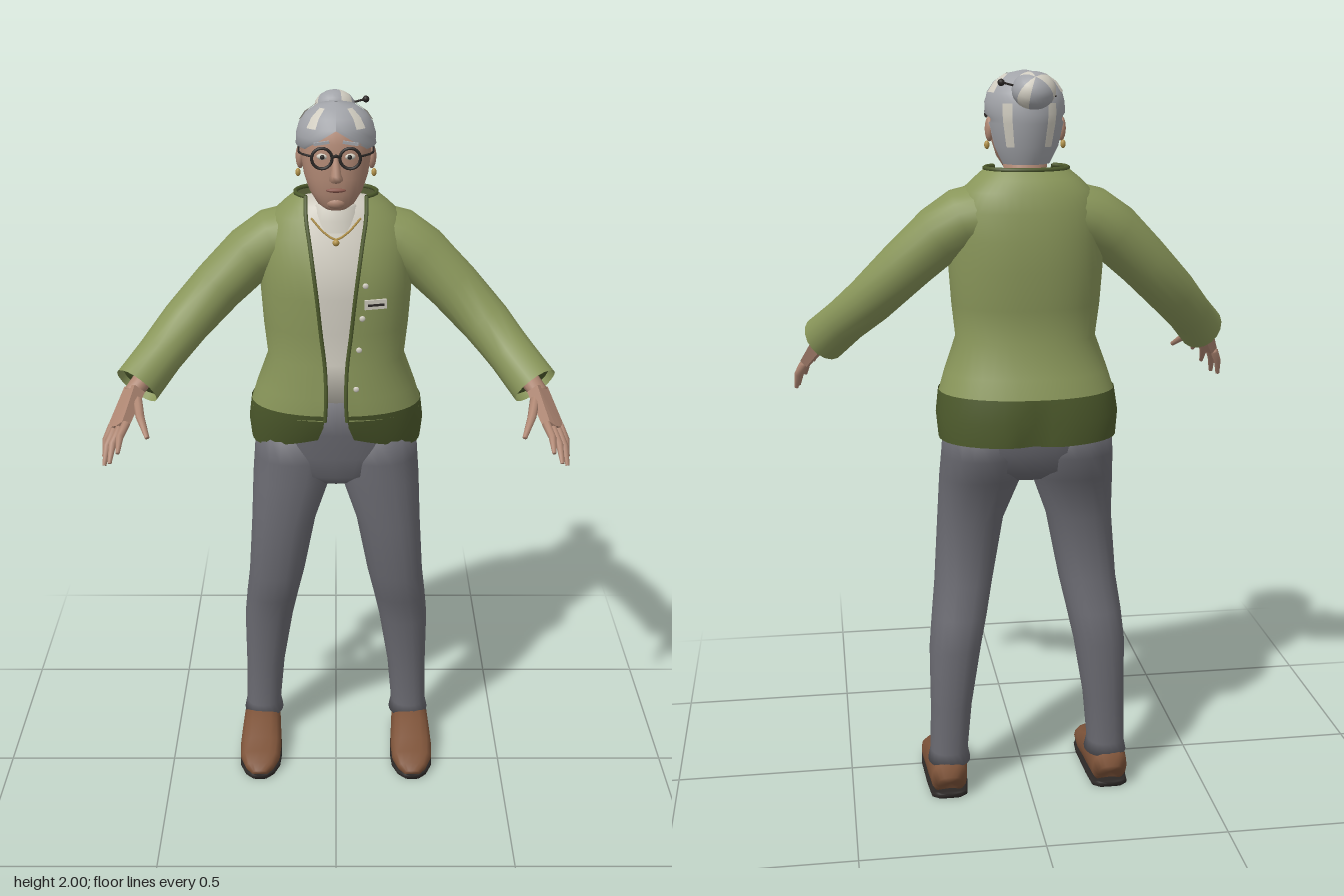
import * as THREE from 'three';
import { ConvexGeometry } from 'three/addons/geometries/ConvexGeometry.js';

const V = (x, y, z) => new THREE.Vector3(x, y, z);
const colours = {
  skin: 0xb08874, hair: 0xa2a4a9, cream: 0xd0ccc0, jacketGreen: 0x89965a, hemGreen: 0x4d5a2c,
  trouserGrey: 0x6a6a71, shoeBrown: 0x7d5339, dark: 0x2b2725, gold: 0xb3934a, lip: 0x8c594e,
};

// Skins rows of points; closed rows wrap round, and capped ends are filled.
function skin(rows, closed = true, cap = true) {
  const n = rows[0].length, pos = [], idx = [];
  rows.forEach(r => r.forEach(p => pos.push(p.x, p.y, p.z)));
  for (let i = 0; i + 1 < rows.length; i++)
    for (let j = 0; j < (closed ? n : n - 1); j++) {
      const a = i * n + j, b = i * n + (j + 1) % n;
      idx.push(a, a + n, b, b, a + n, b + n);
    }
  if (closed && cap) [0, rows.length - 1].forEach((r, end) => {
    const c = rows[r].reduce((s, p) => s.add(p), V(0, 0, 0)).divideScalar(n), k = pos.length / 3;
    pos.push(c.x, c.y, c.z);
    for (let j = 0; j < n; j++) {
      const a = r * n + j, b = r * n + (j + 1) % n;
      idx.push(...(end ? [a, k, b] : [a, b, k]));
    }
  });
  // Keep the faces outward whichever way the rows run.
  const at = i => V(pos[3 * i], pos[3 * i + 1], pos[3 * i + 2]);
  const mid = rows.flat().reduce((s, p) => s.add(p), V(0, 0, 0)).divideScalar(rows.length * n);
  let vol = 0;
  for (let i = 0; i < idx.length; i += 3)
    vol += at(idx[i]).sub(mid).dot(at(idx[i + 1]).sub(mid).cross(at(idx[i + 2]).sub(mid)));
  if (vol < 0) idx.reverse();
  const g = new THREE.BufferGeometry();
  g.setAttribute('position', new THREE.Float32BufferAttribute(pos, 3));
  g.setIndex(idx);
  g.computeVertexNormals();
  return g;
}

const pw = (v, e) => Math.sign(v) * Math.abs(v) ** e;
// Point on a level ring [y, halfWidth, frontZ, backZ] at angle t from the front.
const onRing = ([y, rx, zf, zb], t, e, cx = 0) =>
  V(cx + rx * pw(Math.sin(t), e), y, (zf + zb) / 2 + (zf - zb) / 2 * pw(Math.cos(t), e));
const body = (rings, { n = 28, e = 0.9, cx = () => 0, cap = true } = {}) => skin(rings.map(r =>
  Array.from({ length: n }, (_, j) => onRing(r, j / n * Math.PI * 2, e, cx(r)))), true, cap);
// Open wrap between angles a and b, given per ring.
const wrap = (rings, a, b, n = 40, e = 0.9) => skin(rings.map((r, i) =>
  Array.from({ length: n + 1 }, (_, j) => onRing(r, a(r, i) + (b(r, i) - a(r, i)) * j / n, e))), false);

// Limb along a path of [x, y, z, radiusUp, radiusSide], s mirrors it in x.
function limb(path, s, n = 14, e = 1, cap = true) {
  const pts = path.map(p => V(p[0] * s, p[1], p[2]));
  return skin(path.map((p, i) => {
    const T = pts[Math.min(i + 1, pts.length - 1)].clone().sub(pts[Math.max(i - 1, 0)]).normalize();
    const B = T.clone().cross(V(0, 1, 0)).normalize(), U = B.clone().cross(T);
    return Array.from({ length: n }, (_, j) => {
      const t = j / n * Math.PI * 2;
      return pts[i].clone().addScaledVector(B, p[4] * pw(Math.cos(t), e)).addScaledVector(U, p[3] * pw(Math.sin(t), e));
    });
  }), true, cap);
}

export function createModel() {
  const root = new THREE.Group(), mat = {};
  root.name = 'olderWoman';
  for (const [name, color] of Object.entries(colours)) {
    mat[name] = new THREE.MeshStandardMaterial({ color });
    mat[name].name = name;
  }
  ['jacketGreen', 'hemGreen', 'hair', 'cream'].forEach(k => { mat[k].side = THREE.DoubleSide; });
  const add = (name, geo, m, x = 0, y = 0, z = 0) => {
    const mesh = new THREE.Mesh(geo, mat[m]);
    mesh.name = name;
    mesh.position.set(x, y, z);
    root.add(mesh);
    return mesh;
  };
  const ball = (name, m, x, y, z, rx, ry = rx, rz = rx) =>
    add(name, new THREE.SphereGeometry(1, 14, 10), m, x, y, z).scale.set(rx, ry, rz);
  const tube = (name, pts, r, m, closed = false) =>
    add(name, new THREE.TubeGeometry(new THREE.CatmullRomCurve3(pts, closed), 40, r, 6, closed), m);

  // Jacket rings end with the half width of the front opening
  const jacket = [
    [1.155, 0.24, 0.048, -0.28, 0.03], [1.22, 0.22, 0.05, -0.262, 0.027], [1.31, 0.188, 0.04, -0.228, 0.03],
    [1.4, 0.198, 0.04, -0.24, 0.04], [1.5, 0.205, 0.048, -0.25, 0.05], [1.58, 0.203, 0.04, -0.25, 0.06],
    [1.65, 0.2, 0.015, -0.243, 0.07], [1.7, 0.17, -0.005, -0.23, 0.078], [1.73, 0.138, -0.02, -0.212, 0.08],
    [1.755, 0.108, -0.035, -0.19, 0.08]];
  const open = r => Math.asin((r[4] / r[1]) ** (1 / 0.9));
  const close = r => Math.PI * 2 - open(r);
  add('jacketBody', wrap(jacket, open, close), 'jacketGreen');
  const inset = jacket.map(([y, rx, f, b]) => [y, rx - 0.016, f - 0.014, b + 0.016]);
  add('shirt', body([[1.205, 0.2, 0.034, -0.24], ...inset.slice(2, -1), [1.745, 0.06, -0.05, -0.16]]), 'cream');
  add('shirtCollar', body([[1.67, 0.085, -0.005, -0.18], [1.7, 0.083, -0.012, -0.18], [1.733, 0.07, -0.022, -0.165],
    [1.738, 0.062, -0.03, -0.155]], { cap: false }), 'cream');

  // Dark edging along the opening and round the neck
  for (const f of [open, close])
    tube('jacketEdge', jacket.map(r => onRing(r, f(r), 0.9)), 0.006, 'hemGreen');
  const top = jacket[jacket.length - 1];
  tube('neckEdge', Array.from({ length: 17 }, (_, i) =>
    onRing(top, open(top) + (close(top) - open(top)) * i / 16, 0.9)), 0.006, 'hemGreen');

  // Hem band, rising towards the front opening
  const hem = wrap([[1.172, 0.238, 0.052, -0.28, 0.03], [1.11, 0.246, 0.04, -0.29, 0.035],
    [1.045, 0.24, 0.02, -0.287, 0.05]], open, close);
  const hp = hem.attributes.position;
  for (let i = 0; i < hp.count; i++) {
    const low = (1.172 - hp.getY(i)) / 0.127, x = hp.getX(i);
    if (hp.getZ(i) > -0.1) hp.setY(i, hp.getY(i) + low * 0.055 * Math.max(0, 1 - Math.abs(x) / 0.22));
    else hp.setZ(i, hp.getZ(i) + low * 0.02 * Math.exp(-((x / 0.04) ** 2)));
  }
  hem.computeVertexNormals();
  add('jacketHem', hem, 'hemGreen');

  // Buttons, name plate and necklace
  const frontZ = (x, y) => {
    const i = jacket.findIndex(r => r[0] > y), a = jacket[i - 1], b = jacket[i];
    const r = a.map((v, k) => v + (b[k] - v) * (y - a[0]) / (b[0] - a[0]));
    return onRing(r, Math.asin((x / r[1]) ** (1 / 0.9)), 0.9).z;
  };
  for (const [x, y] of [[0.078, 1.54], [0.07, 1.45], [0.062, 1.36], [0.055, 1.25]])
    ball('button', 'cream', x, y, frontZ(x, y) + 0.002, 0.008, 0.008, 0.004);
  const badgeZ = frontZ(0.105, 1.49) + 0.007;
  add('badge', new THREE.BoxGeometry(0.06, 0.026, 0.006), 'cream', 0.105, 1.49, badgeZ).rotation.y = 0.25;
  add('badgeStripe', new THREE.BoxGeometry(0.045, 0.006, 0.004), 'dark', 0.106, 1.489, badgeZ + 0.003).rotation.y = 0.25;
  tube('necklace', [V(-0.065, 1.71, -0.01), V(-0.03, 1.675, 0.006), V(0, 1.66, 0.014), V(0.03, 1.675, 0.006), V(0.065, 1.71, -0.01)], 0.003, 'gold');
  ball('pendant', 'gold', 0, 1.652, 0.018, 0.009);

  // Hips
  add('hips', body([[0.925, 0.07, -0.04, -0.18], [0.96, 0.18, -0.005, -0.23], [1.02, 0.228, 0.004, -0.262],
    [1.1, 0.23, 0.02, -0.272], [1.215, 0.2, 0.03, -0.24]]), 'trouserGrey');

  for (const s of [1, -1]) {
    // Leg rings: centre x first
    const leg = [[0.226, 0.095, 0.06, -0.085, -0.213], [0.226, 0.13, 0.053, -0.092, -0.208], [0.218, 0.27, 0.058, -0.085, -0.214],
      [0.204, 0.44, 0.072, -0.066, -0.217], [0.19, 0.53, 0.077, -0.043, -0.207], [0.175, 0.62, 0.081, -0.015, -0.18], [0.152, 0.8, 0.092, 0, -0.167],
      [0.126, 0.93, 0.113, 0, -0.22], [0.117, 1.0, 0.117, 0.002, -0.256], [0.113, 1.08, 0.115, 0, -0.26]];
    const centre = new Map(leg.map(r => [r[1], r[0] * s]));
    add('trouserLeg', body(leg.map(r => r.slice(1)), { n: 20, cx: r => centre.get(r[0]) }), 'trouserGrey');

    // Shoe as [z, height, half width]
    const shoe = [[-0.212, 0.085, 0.034], [-0.2, 0.105, 0.05], [-0.13, 0.118, 0.057], [-0.07, 0.108, 0.06],
      [-0.01, 0.078, 0.063], [0.045, 0.062, 0.059], [0.083, 0.048, 0.043], [0.103, 0.032, 0.022]];
    add('shoe', limb(shoe.map(([z, h, w]) => [0.231, h / 2 + 0.004, z, h / 2 - 0.003, w]), s, 16, 0.75), 'shoeBrown');
    add('sole', limb(shoe.map(([z, h, w]) => [0.231, 0.008, z * 1.01, 0.008, w + 0.001]), s, 16, 0.45), 'dark');

    // Sleeve
    const sleeve = [[0.11, 1.635, -0.12, 0.085, 0.095], [0.17, 1.622, -0.118, 0.084, 0.095], [0.23, 1.585, -0.112, 0.078, 0.088],
      [0.32, 1.5, -0.092, 0.072, 0.078], [0.41, 1.408, -0.052, 0.066, 0.072], [0.475, 1.34, 0.018, 0.062, 0.064], [0.533, 1.277, 0.085, 0.066, 0.063]];
    add('sleeve', limb(sleeve, s, 18, 1, false), 'jacketGreen');
    add('cuffLining', limb([[0.515, 1.296, 0.064, 0.058, 0.056], [0.522, 1.288, 0.073, 0.058, 0.056]], s), 'hemGreen');

    // Hand: palm hull, four fingers and a thumb
    const nrm = V(0.69, 0.68, 0.24), fingers = [
      [[0.552, 1.215, 0.198], [0.565, 1.17, 0.285]], [[0.57, 1.2, 0.192], [0.59, 1.135, 0.272]],
      [[0.586, 1.19, 0.176], [0.61, 1.112, 0.235]], [[0.595, 1.19, 0.15], [0.617, 1.115, 0.185]]];
    const hull = [];
    for (const [base] of fingers) for (const k of [-0.012, 0.012]) hull.push(V(...base).addScaledVector(nrm, k));
    for (const w of [-1, 1]) for (const k of [-0.018, 0.018])
      hull.push(V(0.538 - 0.017 * w, 1.272 + 0.011 * w, 0.098 + 0.02 * w).addScaledVector(nrm, k));
    add('palm', new ConvexGeometry(hull.map(p => V(p.x * s, p.y, p.z))), 'skin');
    add('wrist', limb([[0.505, 1.305, 0.055, 0.026, 0.028], [0.542, 1.265, 0.105, 0.023, 0.026]], s, 10), 'skin');
    const digit = (name, a, b, r) => {
      const m = V(...a).lerp(V(...b), 0.5).addScaledVector(nrm, 0.007);
      add(name, limb([[...a, r, r], [m.x, m.y, m.z, r * 0.9, r * 0.9], [...b, r * 0.5, r * 0.5]], s, 8), 'skin');
    };
    fingers.forEach(([a, b]) => digit('finger', a, b, 0.0115));
    digit('thumb', [0.528, 1.255, 0.13], [0.492, 1.195, 0.243], 0.013);

    // Ear, earring, eye, brow and one side of the glasses
    ball('ear', 'skin', s * 0.094, 1.853, -0.095, 0.012, 0.032, 0.02);
    ball('earring', 'gold', s * 0.1, 1.812, -0.09, 0.007, 0.011, 0.007);
    ball('eye', 'cream', s * 0.035, 1.879, 0.02, 0.015, 0.008, 0.01);
    ball('pupil', 'dark', s * 0.035, 1.879, 0.028, 0.006, 0.006, 0.004);
    add('brow', new THREE.BoxGeometry(0.04, 0.007, 0.008), 'hair', s * 0.037, 1.914, 0.026).rotation.z = -s * 0.15;
    add('lensRim', new THREE.TorusGeometry(0.026, 0.004, 6, 24), 'dark', s * 0.036, 1.879, 0.042);
    tube('glassesArm', [V(s * 0.062, 1.884, 0.04), V(s * 0.09, 1.885, 0.01), V(s * 0.098, 1.88, -0.09)], 0.003, 'dark');
  }
  tube('glassesBridge', [V(-0.011, 1.881, 0.042), V(0, 1.886, 0.046), V(0.011, 1.881, 0.042)], 0.004, 'dark');

  // Neck, head and face
  add('neck', body([[1.66, 0.065, -0.03, -0.16], [1.72, 0.055, -0.035, -0.15], [1.8, 0.058, -0.02, -0.15]]), 'skin');
  add('head', body([[1.735, 0.028, 0.006, -0.05], [1.748, 0.048, 0.018, -0.08], [1.78, 0.07, 0.026, -0.12], [1.82, 0.084, 0.031, -0.145],
    [1.87, 0.092, 0.028, -0.16], [1.91, 0.094, 0.027, -0.165], [1.95, 0.082, 0.012, -0.15], [1.98, 0.045, -0.02, -0.11]]), 'skin');
  add('nose', body([[1.815, 0.012, 0.045, 0.01], [1.823, 0.019, 0.06, 0.01], [1.835, 0.014, 0.058, 0.01], [1.88, 0.008, 0.036, 0.01]], { n: 10 }), 'skin');
  ball('mouth', 'lip', 0, 1.793, 0.026, 0.026, 0.006, 0.008);
  ball('chin', 'skin', 0, 1.757, 0.008, 0.026, 0.017, 0.018);

  // Hair: nape, then swept up over the crown; the last entry is the angle of the hairline
  const hair = [[1.765, 0.066, -0.01, -0.158, 1.95], [1.81, 0.088, 0.01, -0.178, 1.9], [1.87, 0.102, 0.03, -0.19, 1.85],
    [1.893, 0.105, 0.034, -0.192, 0.85], [1.92, 0.104, 0.035, -0.19, 0.4], [1.945, 0.097, 0.03, -0.184, 0.001],
    [1.97, 0.08, 0.012, -0.165, 0.001], [1.99, 0.052, -0.018, -0.132, 0.001], [2.0, 0.004, -0.068, -0.078, 0.001]];
  add('hairCap', wrap(hair, r => r[4], r => Math.PI * 2 - r[4], 36, 1), 'hair');
  const puff = hair.map(([y, rx, f, b]) => [y + 0.001, rx + 0.003, f + 0.003, b - 0.003]);
  const streak = (a, b, from, to) => add('hairStreak', wrap(puff.slice(from, to), () => a, () => b, 6, 1), 'cream');
  for (const s of [1, -1]) {
    streak(s * 0.55, s * 0.85, 5, 8);
    streak(s * 1.75, s * 2.1, 5, 8);
    streak(s * 2.45, s * 2.7, 1, 5);
  }
  // Bun of alternating locks, with a pin
  for (let i = 0; i < 10; i++) {
    const lock = add('bunLock', new THREE.SphereGeometry(1, 3, 10, i * Math.PI / 5, Math.PI / 5), i % 3 ? 'hair' : 'cream', -0.003, 1.955, -0.222);
    lock.scale.set(0.056, 0.045, 0.05);
    lock.rotation.x = -0.7;
  }
  tube('hairPin', [V(-0.06, 1.94, -0.217), V(0, 1.955, -0.222), V(0.078, 1.975, -0.228)], 0.003, 'dark');
  ball('hairPinEnd', 'dark', 0.08, 1.975, -0.228, 0.009);
  return root;
}
